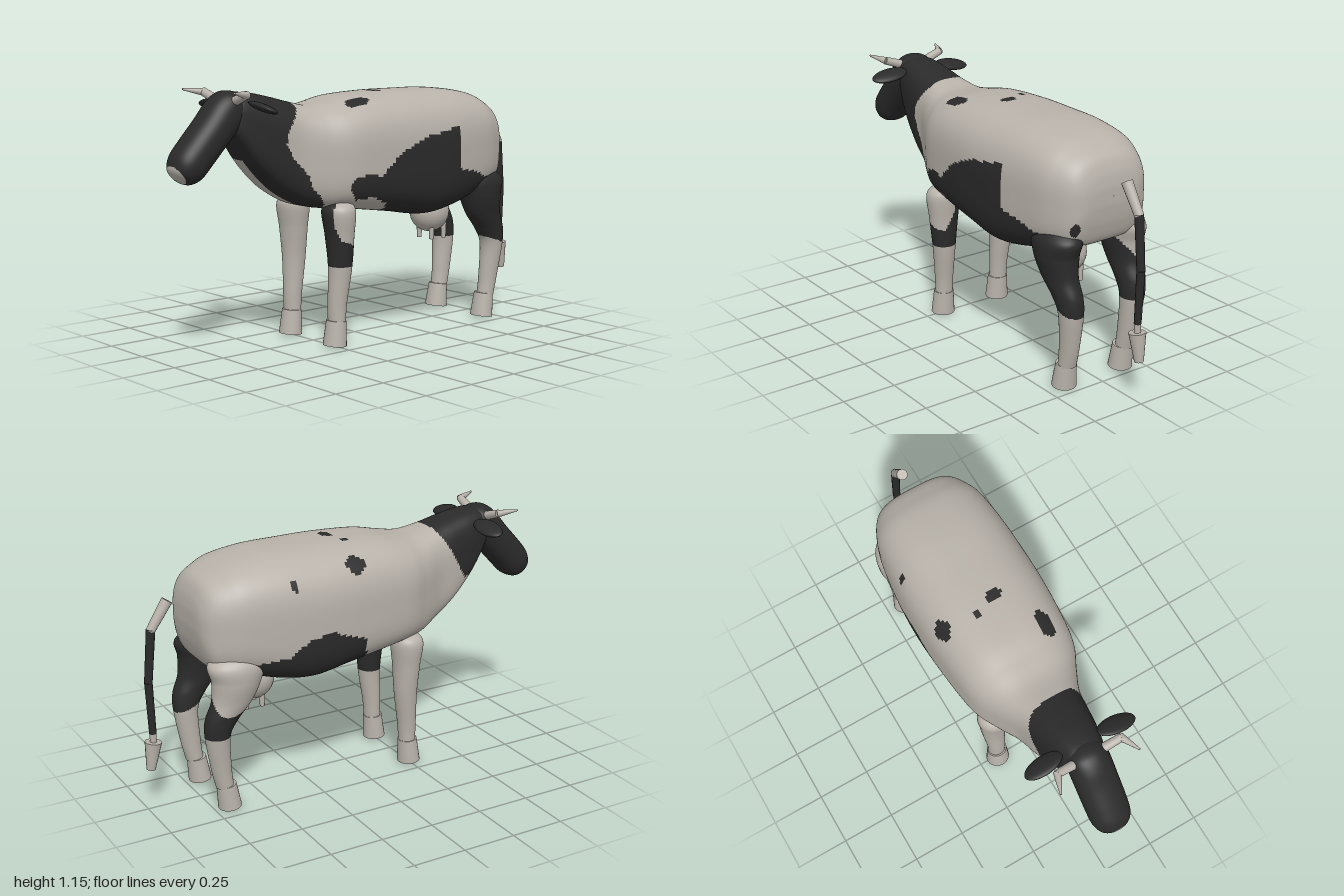
import * as THREE from 'three';

const light = new THREE.MeshStandardMaterial({ color: 0xb8b2aa });
light.name = 'warm pale hide';
const dark = new THREE.MeshStandardMaterial({ color: 0x2a2a2a });
dark.name = 'black hide';

// Smooth skin through oval sections [x, y, z, halfWidth, halfDepth]; tilt turns the
// section plane, the powers square off its two halves, isDark picks the patches.
function loft(name, stations, { tilt = 0, power = 2, underPower = power, sides = 48, steps = 12, isDark }) {
  const spline = new THREE.CubicInterpolant(stations.map((s, i) => i), stations.flat(), 5);
  const rows = (stations.length - 1) * steps;
  const pos = [];
  for (let i = 0; i <= rows; i++) {
    const [x, y, z, rx, rv] = spline.evaluate(i / steps);
    for (let j = 0; j < sides; j++) {
      const a = (j / sides) * Math.PI * 2;
      const c = Math.cos(a), s = Math.sin(a), p = s < 0 ? underPower : power;
      const r = (Math.abs(c) ** p + Math.abs(s) ** p) ** (-1 / p);
      pos.push(x + r * c * rx, y + r * s * rv * Math.cos(tilt), z + r * s * rv * Math.sin(tilt));
    }
  }
  const faces = [[], []];
  for (let i = 0; i < rows; i++) {
    for (let j = 0; j < sides; j++) {
      const k = (j + 1) % sides;
      const a = i * sides + j, b = i * sides + k, c = b + sides, d = a + sides;
      const mid = [0, 1, 2].map((n) => [a, b, c, d].reduce((sum, q) => sum + pos[q * 3 + n], 0) / 4);
      faces[isDark(...mid) ? 1 : 0].push(a, b, c, a, c, d);
    }
  }
  const geo = new THREE.BufferGeometry();
  geo.setAttribute('position', new THREE.Float32BufferAttribute(pos, 3));
  geo.setIndex([...faces[0], ...faces[1]]);
  geo.addGroup(0, faces[0].length, 0);
  geo.addGroup(faces[0].length, faces[1].length, 1);
  geo.computeVertexNormals();
  const mesh = new THREE.Mesh(geo, [light, dark]);
  mesh.name = name;
  return mesh;
}

// Tapered round rod from point a to point b
function rod(name, a, b, ra, rb, material) {
  const from = new THREE.Vector3(...a), to = new THREE.Vector3(...b);
  const dir = to.clone().sub(from);
  const mesh = new THREE.Mesh(new THREE.CylinderGeometry(rb, ra, dir.length(), 16), material);
  mesh.quaternion.setFromUnitVectors(new THREE.Vector3(0, 1, 0), dir.normalize());
  mesh.position.copy(from).add(to).multiplyScalar(0.5);
  mesh.name = name;
  return mesh;
}

function ellipsoid(name, [x, y, z], [rx, ry, rz], material) {
  const mesh = new THREE.Mesh(new THREE.SphereGeometry(1, 32, 20), material);
  mesh.scale.set(rx, ry, rz);
  mesh.position.set(x, y, z);
  mesh.name = name;
  return mesh;
}

// Is the point (z, y) inside the outline?
function inside(outline, z, y) {
  let hit = false;
  outline.forEach(([z1, y1], i) => {
    const [z2, y2] = outline[(i + 1) % outline.length];
    if ((y1 > y) !== (y2 > y) && z < ((z2 - z1) * (y - y1)) / (y2 - y1) + z1) hit = !hit;
  });
  return hit;
}

const inOval = (u, v, cu, cv, ru, rv) => ((u - cu) / ru) ** 2 + ((v - cv) / rv) ** 2 < 1;

// Hide patches, outlined as [z, y]
const flankPatch = [[0.23, 0.71], [0.22, 0.755], [0.14, 0.775], [0.08, 0.76], [-0.02, 0.85], [-0.1, 0.89],
  [-0.19, 0.925], [-0.3, 0.935], [-0.39, 0.96], [-0.4, 0.76], [-0.5, 0.74], [-0.58, 0.71], [-0.8, 0.67],
  [-0.8, 0.5], [-0.48, 0.5], [-0.29, 0.5], [-0.02, 0.57], [0.02, 0.63], [0.1, 0.67], [0.19, 0.66]];
const neckPatch = [[0.4, 1.2], [0.42, 1.07], [0.49, 0.97], [0.5, 0.92], [0.47, 0.86], [0.4, 0.78],
  [0.38, 0.72], [0.33, 0.67], [0.27, 0.58], [0.9, 0.58], [0.9, 1.2]];
const bellyPatch = [[-0.6, 0.5], [-0.6, 0.69], [-0.43, 0.7], [-0.33, 0.77], [-0.22, 0.78], [-0.06, 0.72],
  [0, 0.5]];
// Back spots as [x, z, halfWidth, halfLength]
const spots = [[0.155, 0.12, 0.035, 0.065], [0.025, -0.09, 0.04, 0.025], [-0.23, -0.08, 0.03, 0.045],
  [-0.075, -0.05, 0.016, 0.012], [-0.258, -0.39, 0.012, 0.016]];

function bodyDark(x, y, z) {
  if (y > 0.9 && spots.some((spot) => inOval(x, z, ...spot))) return true;
  if (z < -0.74 && inOval(x, y, 0.175, 0.745, 0.02, 0.03)) return true;
  if (x >= 0) return inside(neckPatch, z, y) || (x > 0.13 && inside(flankPatch, z, y));
  if (x < -0.1 && inside(bellyPatch, z, y)) return true;
  return z > 0.66 || (y > 0.85 && z > 0.42 + 0.6 * (1.1 - y));
}

function frontLegDark(x, y, z) {
  if (x < 0 || y < 0.365) return false;
  return y < 0.46 + (z - 0.2) * 0.4 || x < 0.17 + (z - 0.23) * 0.5 + Math.max(0, 0.55 - y) * 0.5;
}

function hindLegDark(x, y, z) {
  if (x > 0) return y > 0.36 + (z + 0.785) * 0.35;
  return y > 0.36 && y < 0.45 + (x + 0.25) * 1.2;
}

export function createModel() {
  const cow = new THREE.Group();
  cow.name = 'cow';

  // Trunk and neck, rump to throat
  cow.add(loft('body', [
    [0, 0.87, -0.785, 0.001, 0.001], [0, 0.87, -0.783, 0.11, 0.05], [0, 0.86, -0.77, 0.165, 0.12],
    [0, 0.85, -0.74, 0.205, 0.185], [0, 0.855, -0.68, 0.24, 0.215], [0, 0.86, -0.6, 0.266, 0.24],
    [0, 0.845, -0.45, 0.285, 0.275], [0, 0.833, -0.28, 0.293, 0.289], [0, 0.846, -0.1, 0.29, 0.275],
    [0, 0.855, 0.1, 0.274, 0.255], [0, 0.852, 0.22, 0.252, 0.235], [0, 0.85, 0.32, 0.203, 0.225],
    [0, 0.88, 0.42, 0.155, 0.215], [0, 0.925, 0.52, 0.135, 0.195], [0, 0.985, 0.62, 0.115, 0.155],
    [0, 1.04, 0.7, 0.09, 0.1], [0, 1.05, 0.74, 0.055, 0.055], [0, 1.05, 0.75, 0.001, 0.001],
  ], { power: 2.75, underPower: 4, sides: 140, isDark: bodyDark }));

  // Head with a pale nose
  cow.add(loft('head', [
    [0, 1.13, 0.65, 0.001, 0.001], [0, 1.12, 0.66, 0.05, 0.04], [0, 1.095, 0.69, 0.085, 0.075],
    [0, 1.05, 0.735, 0.093, 0.088], [0, 0.98, 0.8, 0.093, 0.084], [0, 0.9, 0.875, 0.092, 0.083],
    [0, 0.845, 0.925, 0.088, 0.08], [0, 0.813, 0.955, 0.072, 0.062], [0, 0.8, 0.97, 0.045, 0.04],
    [0, 0.792, 0.978, 0.001, 0.001],
  ], { tilt: Math.PI / 4, power: 2.2, isDark: (x, y, z) => z < 0.9 || !inOval(x, y, 0, 0.812, 0.055, 0.04) }));

  for (const s of [1, -1]) {
    const side = s > 0 ? 'left' : 'right';

    // Horns and ears
    cow.add(rod(side + 'HornBase', [s * 0.07, 1.11, 0.72], [s * 0.155, 1.14, 0.725], 0.021, 0.018, light));
    cow.add(rod(side + 'HornTip', [s * 0.15, 1.138, 0.72], [s * 0.188, 1.152, 0.81], 0.018, 0.004, light));
    const ear = ellipsoid(side + 'Ear', [s * 0.175, 1.086, 0.655], [0.091, 0.017, 0.047], dark);
    ear.rotation.set(-0.35, 0, -s * 0.15);
    cow.add(ear);

    // Legs, top down
    const legOptions = { tilt: Math.PI / 2, steps: 24 };
    cow.add(loft(side + 'FrontLeg', [
      [s * 0.15, 0.66, 0.225, 0.04, 0.04], [s * 0.16, 0.615, 0.233, 0.08, 0.073],
      [s * 0.163, 0.5, 0.23, 0.07, 0.062], [s * 0.164, 0.36, 0.228, 0.055, 0.053],
      [s * 0.159, 0.2, 0.24, 0.044, 0.043], [s * 0.158, 0.11, 0.243, 0.042, 0.038],
    ], { ...legOptions, isDark: frontLegDark }));
    cow.add(loft(side + 'HindLeg', [
      [s * 0.145, 0.76, -0.6, 0.05, 0.07], [s * 0.17, 0.69, -0.63, 0.09, 0.132],
      [s * 0.178, 0.61, -0.637, 0.087, 0.113], [s * 0.177, 0.52, -0.66, 0.07, 0.095],
      [s * 0.172, 0.44, -0.708, 0.06, 0.077], [s * 0.168, 0.36, -0.73, 0.053, 0.057],
      [s * 0.162, 0.2, -0.715, 0.043, 0.046], [s * 0.16, 0.11, -0.7, 0.041, 0.04],
    ], { ...legOptions, isDark: hindLegDark }));

    // Hooves
    for (const [label, z, lean] of [['FrontHoof', 0.25, -0.08], ['HindHoof', -0.685, -0.13]]) {
      const hoof = new THREE.Mesh(new THREE.CylinderGeometry(0.047, 0.056, 0.112, 24), light);
      hoof.scale.z = 0.93;
      hoof.position.set(s * 0.158, 0.065, z);
      hoof.rotation.x = lean;
      hoof.name = side + label;
      cow.add(hoof);
    }

    // Teats
    for (const z of [-0.45, -0.53]) {
      cow.add(rod(side + 'Teat', [s * 0.042, 0.47, z], [s * 0.042, 0.395, z], 0.014, 0.011, light));
    }
  }

  cow.add(ellipsoid('udder', [0, 0.525, -0.475], [0.092, 0.098, 0.098], light));

  // Tail
  cow.add(rod('tailRoot', [0, 0.955, -0.865], [0, 0.83, -0.948], 0.025, 0.02, light));
  cow.add(rod('tailUpper', [0, 0.84, -0.945], [0, 0.6, -0.968], 0.02, 0.018, dark));
  cow.add(rod('tailLower', [0, 0.6, -0.968], [0, 0.36, -0.96], 0.018, 0.016, dark));
  cow.add(rod('tailEnd', [0, 0.36, -0.96], [0, 0.3, -0.96], 0.015, 0.014, light));
  cow.add(rod('tailTuft', [0, 0.32, -0.96], [0, 0.192, -0.977], 0.038, 0.02, light));

  return cow;
}
